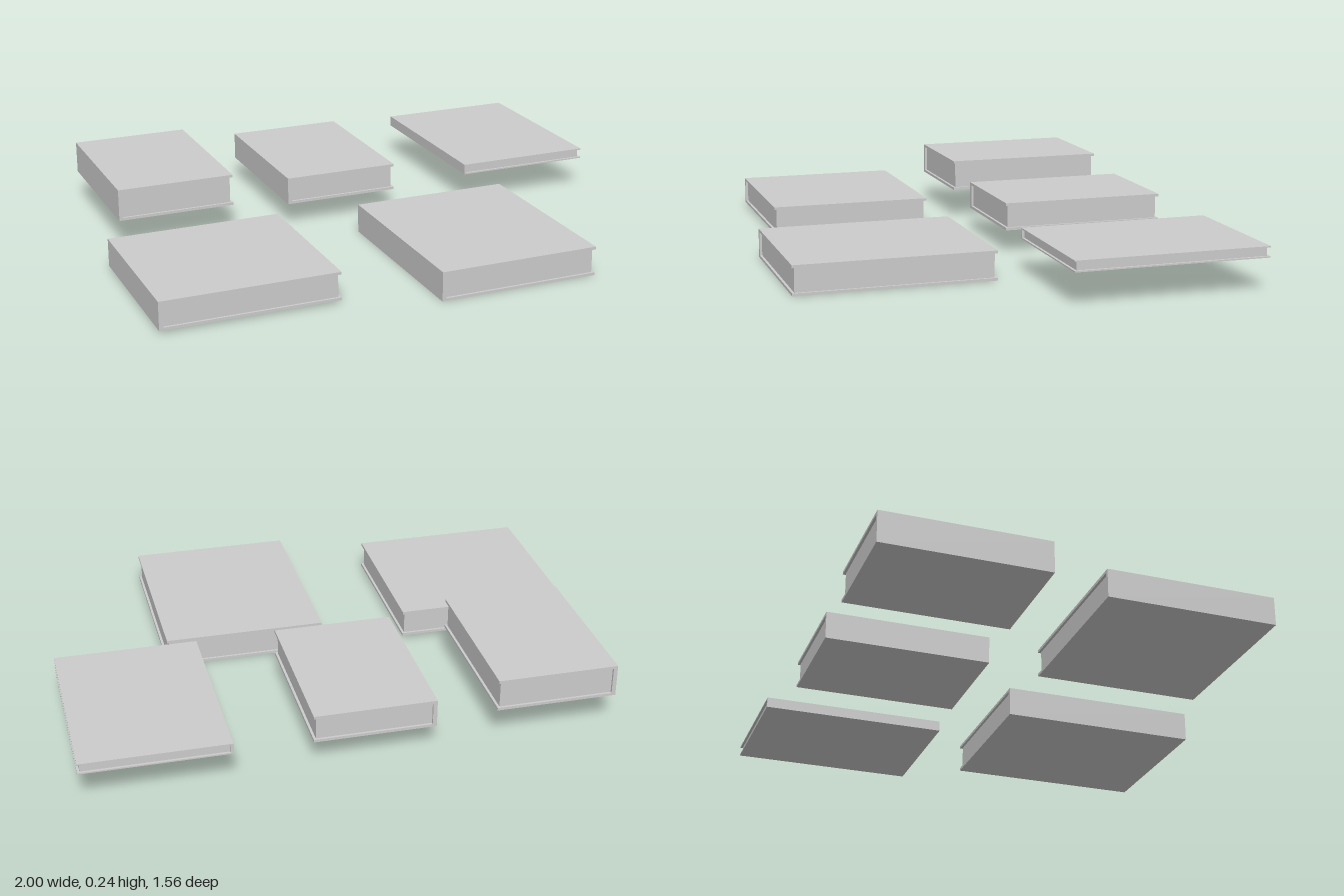
import * as THREE from 'three';

const material = new THREE.MeshStandardMaterial({ color: 0xcccccc, flatShading: true });

// One closed book: a U-shaped cover (spine on -x) around an inset page block
function makeBook({ name, x, y, z, board = 0.01, spine = 0.015, inset = 0.009 }) {
  const [x0, x1] = x, [y0, y1] = y, [z0, z1] = z;
  const book = new THREE.Group();
  book.name = name;

  // Cover: spine and two boards as one profile, open at the fore edge
  const profile = new THREE.Shape([
    [x0, y0], [x1, y0], [x1, y0 + board], [x0 + spine, y0 + board],
    [x0 + spine, y1 - board], [x1, y1 - board], [x1, y1], [x0, y1],
  ].map(([px, py]) => new THREE.Vector2(px, py)));
  const cover = new THREE.Mesh(
    new THREE.ExtrudeGeometry(profile, { depth: z1 - z0, bevelEnabled: false }), material);
  cover.position.z = z0;
  cover.name = 'cover';

  // Page block, set back from the three open edges
  const left = x0 + spine, right = x1 - inset;
  const pages = new THREE.Mesh(
    new THREE.BoxGeometry(right - left, y1 - y0 - 2 * board, z1 - z0 - 2 * inset), material);
  pages.position.set((left + right) / 2, (y0 + y1) / 2, (z0 + z1) / 2);
  pages.name = 'pages';

  book.add(cover, pages);
  return book;
}

export function createModel() {
  const model = new THREE.Group();
  model.name = 'books';
  const books = [
    { name: 'wideBook', x: [-1, -0.354], y: [0.012, 0.116], z: [0.04, 0.655] },
    { name: 'tallBook', x: [-0.032, 0.568], y: [0, 0.108], z: [0.048, 0.778] },
    { name: 'thickSmallBook', x: [-0.914, -0.474], y: [0.118, 0.237], z: [-0.726, -0.112] },
    { name: 'smallBook', x: [-0.253, 0.187], y: [0.088, 0.191], z: [-0.726, -0.112] },
    { name: 'thinBook', x: [0.475, 1], y: [0.122, 0.162], z: [-0.778, -0.07], board: 0.005, spine: 0.01 },
  ];
  for (const b of books) model.add(makeBook(b));
  return model;
}
